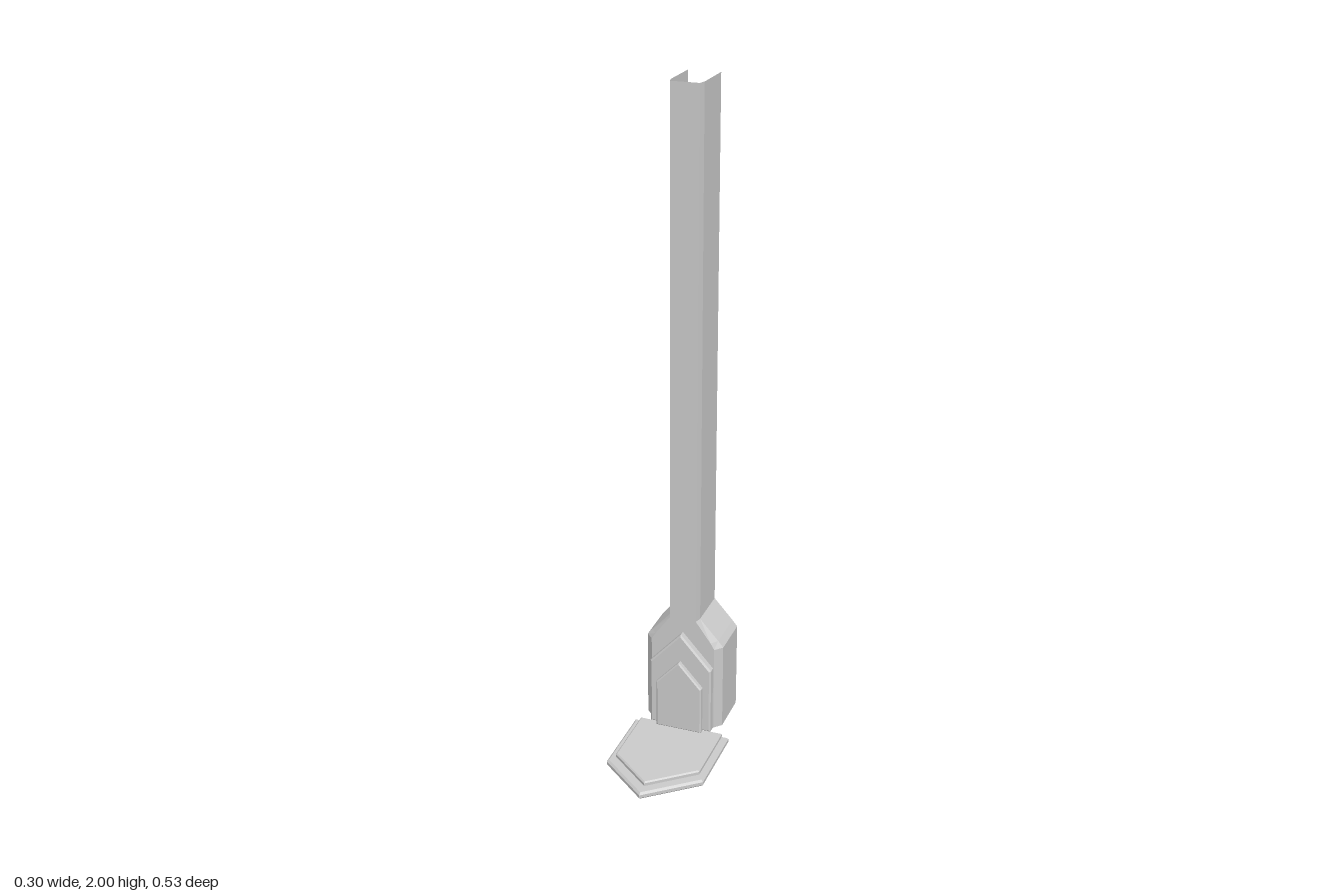
import * as THREE from 'three';

const material = new THREE.MeshStandardMaterial({ color: 0xcccccc, side: THREE.DoubleSide });

function addMesh(group, name, geometry) {
  const mesh = new THREE.Mesh(geometry, material);
  mesh.name = name;
  group.add(mesh);
  return mesh;
}

// Pointed five-sided slab with bevelled rims, from z = 0 to z = thickness
function pointedSlab(halfWidth, base, shoulder, tip, thickness, bevel) {
  const shape = new THREE.Shape([
    [-halfWidth, base], [halfWidth, base], [halfWidth, shoulder], [0, tip], [-halfWidth, shoulder],
  ].map(([x, y]) => new THREE.Vector2(x, y)));
  return new THREE.ExtrudeGeometry(shape, {
    depth: thickness - 2 * bevel, bevelEnabled: true, bevelSegments: 1,
    bevelThickness: bevel, bevelSize: bevel, bevelOffset: -bevel,
  }).translate(0, 0, bevel);
}

// Open-backed shell: a channel plan lofted through rows of [y, half width, front half width]
function channelShell(rows, back, chamfer, front) {
  const positions = [];
  const rings = rows.map(([y, w, f]) => [
    [-w, y, back], [-w, y, chamfer], [-f, y, front],
    [f, y, front], [w, y, chamfer], [w, y, back],
  ]);
  for (let r = 0; r < rings.length - 1; r++) {
    const lower = rings[r], upper = rings[r + 1];
    for (let i = 0; i < lower.length - 1; i++) {
      const a = lower[i], b = lower[i + 1], c = upper[i + 1], d = upper[i];
      positions.push(...a, ...b, ...c, ...a, ...c, ...d);
    }
  }
  const geometry = new THREE.BufferGeometry();
  geometry.setAttribute('position', new THREE.Float32BufferAttribute(positions, 3));
  geometry.computeVertexNormals();
  return geometry;
}

export function createModel() {
  const model = new THREE.Group();
  model.name = 'pillar';

  // Tall channel with a flared foot
  addMesh(model, 'columnShell', channelShell([
    [0.04, 0.121, 0.1],
    [0.315, 0.121, 0.1],
    [0.335, 0.105, 0.088],
    [0.4, 0.047, 0.041],
    [2, 0.047, 0.041],
  ], -0.265, -0.13, -0.108));

  // Stacked pointed panels on the front of the foot
  addMesh(model, 'largePanel', pointedSlab(0.097, 0.036, 0.25, 0.358, 0.043, 0.005))
    .position.z = -0.128;
  addMesh(model, 'smallPanel', pointedSlab(0.072, 0.036, 0.19, 0.27, 0.03, 0.004))
    .position.z = -0.099;

  // Two-tier floor plate pointing forward
  const lower = addMesh(model, 'floorPlateLower', pointedSlab(0.152, -0.1, 0.137, 0.262, 0.022, 0.006));
  const upper = addMesh(model, 'floorPlateUpper', pointedSlab(0.132, -0.095, 0.113, 0.222, 0.018, 0.004));
  for (const [plate, top] of [[lower, 0.022], [upper, 0.035]]) {
    plate.rotation.x = Math.PI / 2;
    plate.position.y = top;
  }

  return model;
}
